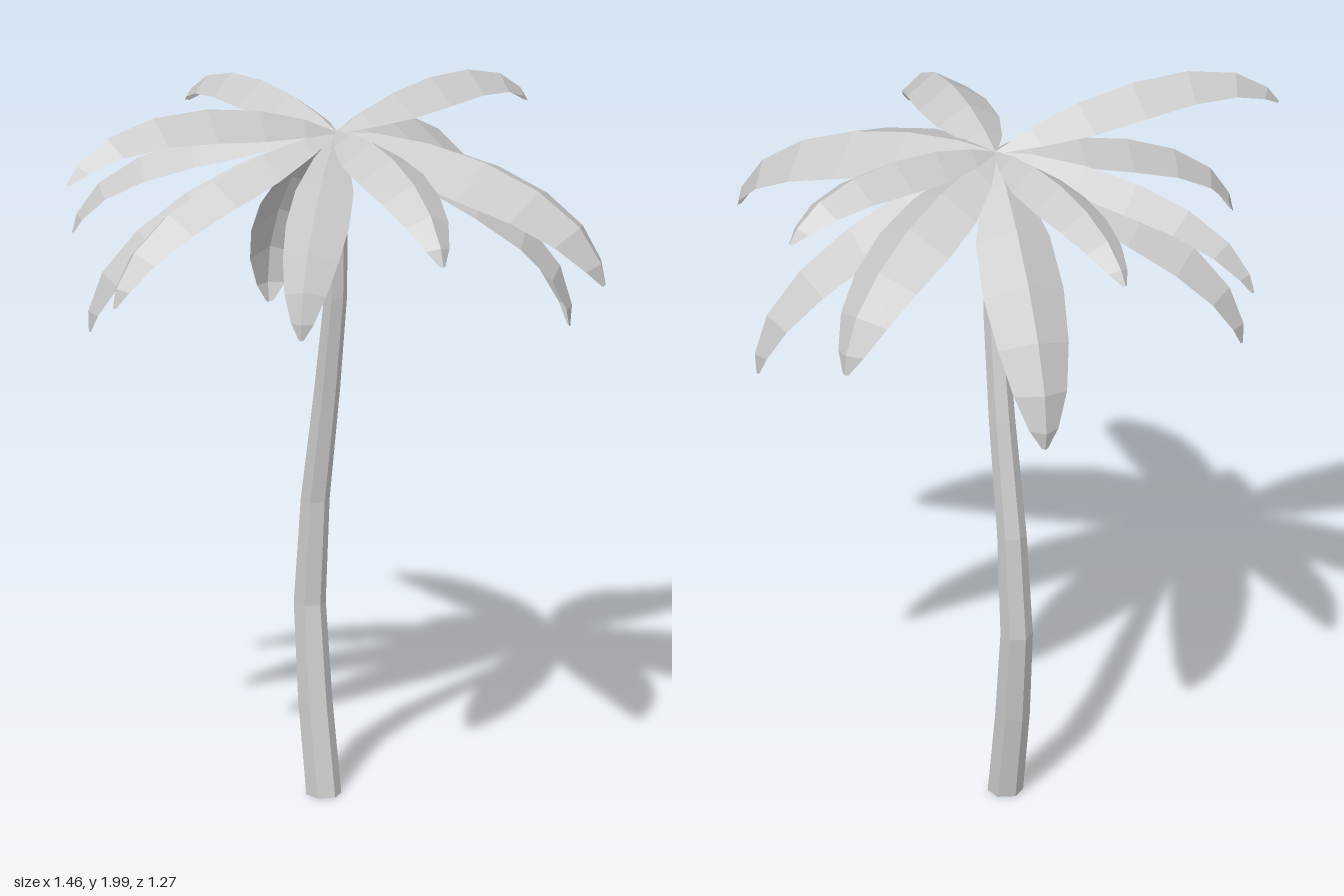
import * as THREE from 'three';

const material = new THREE.MeshStandardMaterial({ color: 0xcccccc, flatShading: true, side: THREE.DoubleSide });
const CROWN = new THREE.Vector3(-0.03, 1.87, 0.02);

// Skin a list of equal-length cross-sections (arrays of Vector3)
function skin(rows, closed) {
  const n = rows[0].length, index = [];
  for (let i = 0; i < rows.length - 1; i++) {
    for (let j = 0; j < (closed ? n : n - 1); j++) {
      const a = i * n + j, b = i * n + (j + 1) % n;
      index.push(a, a + n, b, b, a + n, b + n);
    }
  }
  const geometry = new THREE.BufferGeometry().setFromPoints(rows.flat());
  geometry.setIndex(index);
  geometry.computeVertexNormals();
  return geometry;
}

// Bent six-sided trunk: rings of [x, y, z, radius]
function trunkGeometry() {
  const rings = [
    [-0.09, 0, -0.047, 0.047], [-0.125, 0.25, -0.077, 0.046], [-0.15, 0.51, -0.104, 0.043],
    [-0.132, 0.8, -0.096, 0.039], [-0.085, 1.12, -0.058, 0.035], [-0.046, 1.4, -0.017, 0.031],
    [-0.032, 1.62, 0.008, 0.027], [-0.03, 1.85, 0.02, 0.023],
  ];
  const rows = rings.map(([x, y, z, r]) => Array.from({ length: 6 }, (_, k) => {
    const a = -k * Math.PI / 3;
    return new THREE.Vector3(x + r * Math.sin(a), y, z + r * Math.cos(a));
  }));
  // collapsed end rings cap the trunk
  const centre = ([x, y, z]) => Array.from({ length: 6 }, () => new THREE.Vector3(x, y, z));
  return skin([centre(rings[0]), ...rows, centre(rings[rings.length - 1])], true);
}

// Folded frond: an arched ridge with two sides hanging from it, blunt at the tip
const OUTLINE = [[0, 0.06], [0.12, 0.55], [0.27, 0.92], [0.43, 1], [0.6, 0.88], [0.77, 0.66], [0.92, 0.36], [1, 0.08]];

function frondGeometry(tip, halfWidth, drop, bow) {
  const chord = tip.clone().sub(CROWN);
  const side = new THREE.Vector3(-chord.z, 0, chord.x).normalize();
  const up = side.clone().cross(chord).normalize();
  if (up.y < 0) up.negate();
  const control = (along, lift) =>
    CROWN.clone().addScaledVector(chord, along).addScaledVector(up, lift * bow * chord.length());
  const ridge = new THREE.CubicBezierCurve3(CROWN, control(0.3, 0.8), control(0.86, 1.1), tip);
  return skin(OUTLINE.map(([t, w]) => {
    const p = ridge.getPoint(t);
    const normal = side.clone().cross(ridge.getTangent(t)).normalize();
    if (normal.dot(up) < 0) normal.negate();
    const edge = (s) => p.clone().addScaledVector(side, s * halfWidth * w).addScaledVector(normal, -drop * w);
    return [edge(-1), p, edge(1)];
  }), false);
}

// Fronds: tip x, y, z, half width, side drop, bow
const FRONDS = [
  [0.10, 1.49, -0.64, 0.115, 0.065, 0.25],
  [0.29, 1.81, -0.58, 0.085, 0.06, 0.23],
  [0.49, 1.27, -0.36, 0.10, 0.07, 0.22],
  [-0.36, 1.24, -0.37, 0.11, 0.07, 0.21],
  [-0.59, 1.78, -0.36, 0.08, 0.06, 0.21],
  [-0.73, 1.55, 0.14, 0.075, 0.06, 0.23],
  [-0.64, 1.32, 0.26, 0.095, 0.07, 0.22],
  [-0.57, 1.85, 0.63, 0.085, 0.07, 0.24],
  [-0.45, 1.51, 0.60, 0.085, 0.06, 0.22],
  [0.05, 1.45, 0.52, 0.085, 0.06, 0.22],
  [0.44, 1.69, 0.49, 0.095, 0.06, 0.25],
  [0.73, 1.53, 0.03, 0.16, 0.065, 0.24],
];

export function createModel() {
  const tree = new THREE.Group();
  tree.name = 'palmTree';

  const trunk = new THREE.Mesh(trunkGeometry(), material);
  trunk.name = 'trunk';
  tree.add(trunk);

  // Small bud where the fronds meet the trunk
  const bud = new THREE.Mesh(new THREE.CylinderGeometry(0.015, 0.034, 0.07, 6), material);
  bud.name = 'crownBud';
  bud.position.set(CROWN.x, 1.835, CROWN.z);
  tree.add(bud);

  const crown = new THREE.Group();
  crown.name = 'crown';
  FRONDS.forEach(([x, y, z, width, drop, bow], i) => {
    const frond = new THREE.Mesh(frondGeometry(new THREE.Vector3(x, y, z), width, drop, bow), material);
    frond.name = `frond${i + 1}`;
    crown.add(frond);
  });
  tree.add(crown);
  return tree;
}
